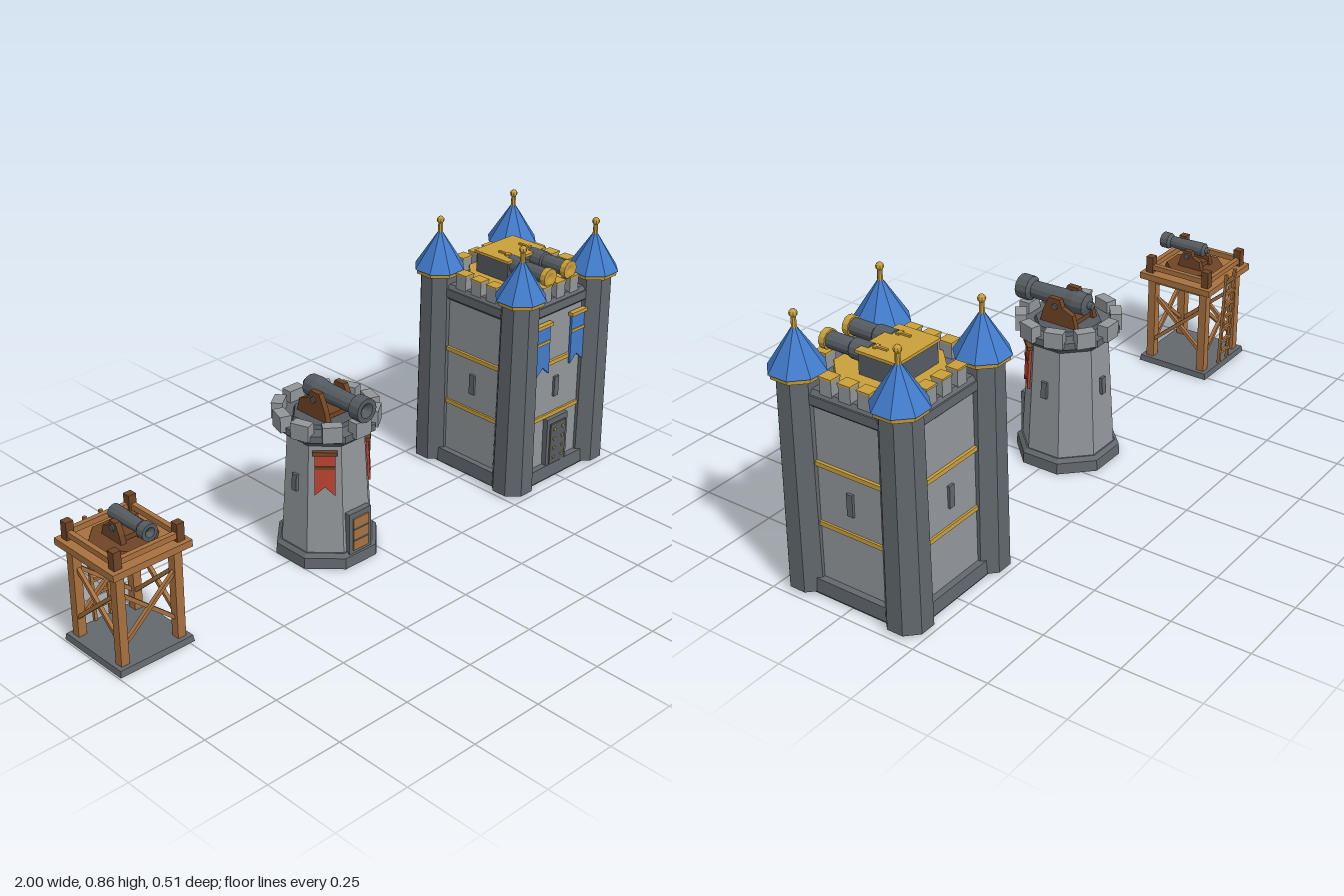
import * as THREE from 'three';

const mat = (name, color) => Object.assign(new THREE.MeshStandardMaterial({ color }), { name });
const M = {
  stone: mat('stone', 0x92969a), darkStone: mat('dark stone', 0x62686d), iron: mat('iron', 0x555c62),
  wood: mat('wood', 0xa8713f), darkWood: mat('dark wood', 0x6f4425),
  red: mat('red cloth', 0xb8432f), blue: mat('blue', 0x427bcb), gold: mat('gold', 0xcaa03c),
};

// Adds a flat-faceted mesh to a group
function add(parent, name, geo, material, x = 0, y = 0, z = 0) {
  const g = geo.index ? geo.toNonIndexed() : geo;
  g.computeVertexNormals();
  const m = new THREE.Mesh(g, material);
  m.name = name;
  m.position.set(x, y, z);
  parent.add(m);
  return m;
}
const box = (p, name, material, w, h, d, x, y, z) => add(p, name, new THREE.BoxGeometry(w, h, d), material, x, y, z);

// Upright prism with n sides, flats facing the axes, measured to the flats
function prism(p, name, material, n, bottom, top, y0, y1, x = 0, z = 0) {
  const k = 1 / Math.cos(Math.PI / n);
  const g = new THREE.CylinderGeometry(top * k, bottom * k, y1 - y0, n).rotateY(Math.PI / n);
  return add(p, name, g, material, x, (y0 + y1) / 2, z);
}

// Square beam between two points
function beam(p, name, material, a, b, t) {
  const va = new THREE.Vector3(...a), d = new THREE.Vector3(...b).sub(va);
  const m = box(p, name, material, t, d.length(), t, 0, 0, 0);
  m.position.copy(va).addScaledVector(d, 0.5);
  m.quaternion.setFromUnitVectors(new THREE.Vector3(0, 1, 0), d.normalize());
}

// Subgroup turned about the vertical axis
function side(p, name, angle) {
  const g = new THREE.Group();
  g.name = name;
  g.rotation.y = angle;
  p.add(g);
  return g;
}

// Barrel pointing to +z; profile points are [radius, z]
function barrel(p, name, material, profile, x, y) {
  const g = new THREE.LatheGeometry(profile.map(([r, z]) => new THREE.Vector2(r, z)), 12).rotateX(Math.PI / 2);
  return add(p, name, g, material, x, y, 0);
}

// Hanging cloth with a swallow tail, top edge at the origin
function banner(p, material, trim, w, h, x, y, z, tilt) {
  const g = new THREE.Group();
  g.name = 'banner';
  const s = new THREE.Shape([[-w / 2, 0], [-w / 2, -h], [0, -h + w * 0.45], [w / 2, -h], [w / 2, 0]]
    .map(([a, b]) => new THREE.Vector2(a, b)));
  add(g, 'bannerCloth', new THREE.ExtrudeGeometry(s, { depth: 0.008, bevelEnabled: false }), material);
  box(g, 'bannerRod', trim, w + 0.012, 0.012, 0.018, 0, 0, 0.006);
  box(g, 'bannerStripe', trim, w, 0.01, 0.003, 0, -h * 0.34, 0.0095);
  g.position.set(x, y, z);
  g.rotation.x = tilt;
  p.add(g);
}

// Stepped wooden cheeks that carry a barrel
function carriage(p, half, y, len, h) {
  const s = new THREE.Shape([[-0.5, 0], [0.5, 0], [0.42, 0.45], [0.25, 1], [-0.05, 1], [-0.12, 0.7], [-0.42, 0.5]]
    .map(([a, b]) => new THREE.Vector2(a * len, b * h)));
  for (const sx of [-1, 1]) {
    const g = new THREE.ExtrudeGeometry(s, { depth: 0.018, bevelEnabled: false })
      .translate(0, 0, -0.009).rotateY(-Math.PI / 2);
    add(p, 'carriageCheek', g, M.darkWood, sx * half, y, 0);
    add(p, 'trunnion', new THREE.CylinderGeometry(0.01, 0.01, 0.03, 8).rotateZ(Math.PI / 2), M.iron, sx * half, y + h * 0.7, 0.01);
  }
  box(p, 'carriageBed', M.darkWood, half * 2, 0.015, len * 0.8, 0, y + 0.01, 0);
}

function watchtower() {
  const t = new THREE.Group();
  t.name = 'woodenTower';
  prism(t, 'baseSlab', M.darkStone, 4, 0.131, 0.128, 0, 0.02);
  for (let i = 0; i < 4; i++) {
    const f = side(t, 'towerSide', i * Math.PI / 2);
    box(f, 'cornerPost', M.wood, 0.028, 0.3, 0.028, 0.1, 0.17, 0.1);
    box(f, 'railPost', M.darkWood, 0.026, 0.062, 0.026, 0.108, 0.364, 0.108);
    box(f, 'rail', M.wood, 0.2, 0.018, 0.016, 0, 0.358, 0.11);
    box(f, 'floorBeam', M.wood, 0.22, 0.02, 0.018, 0, 0.307, 0.1);
    for (const s of [-1, 1])
      beam(f, 'crossBrace', M.wood, [-0.095 * s, 0.08, 0.1 + s * 0.004], [0.095 * s, 0.245, 0.1 + s * 0.004], 0.012);
  }
  box(t, 'platform', M.wood, 0.272, 0.022, 0.272, 0, 0.327, 0);
  box(t, 'platformUnderside', M.darkWood, 0.19, 0.008, 0.19, 0, 0.313, 0);
  prism(t, 'turntable', M.darkWood, 8, 0.095, 0.09, 0.338, 0.352);
  // Ladder on the back
  for (const s of [-1, 1]) beam(t, 'ladderRail', M.wood, [s * 0.028, 0.02, -0.125], [s * 0.028, 0.36, -0.14], 0.01);
  for (let i = 0; i < 7; i++) box(t, 'ladderRung', M.wood, 0.056, 0.009, 0.009, 0, 0.06 + i * 0.045, -0.127 - i * 0.002);
  carriage(t, 0.03, 0.352, 0.09, 0.06);
  barrel(t, 'cannonBarrel', M.iron, [[0, -0.055], [0.008, -0.05], [0.01, -0.04], [0.023, -0.034], [0.023, -0.01],
    [0.019, 0.09], [0.027, 0.1], [0.027, 0.127], [0.016, 0.127], [0, 0.115]], 0, 0.413);
  return t;
}

function roundTower() {
  const t = new THREE.Group();
  t.name = 'stoneTower';
  prism(t, 'plinth', M.darkStone, 8, 0.154, 0.152, 0, 0.036);
  prism(t, 'plinthBevel', M.darkStone, 8, 0.152, 0.14, 0.036, 0.048);
  prism(t, 'towerBody', M.stone, 8, 0.136, 0.116, 0.045, 0.42);
  prism(t, 'corbel', M.darkStone, 8, 0.118, 0.146, 0.405, 0.43);
  prism(t, 'parapetRing', M.darkStone, 8, 0.148, 0.148, 0.43, 0.452);
  for (let i = 0; i < 10; i++)
    box(side(t, 'merlonSide', i * Math.PI / 5), 'merlon', M.stone, 0.06, 0.052, 0.036, 0, 0.463, 0.145);
  // Arrow slits on both sides and the back
  for (const a of [1, 2, 3])
    box(side(t, 'slitSide', a * Math.PI / 2), 'arrowSlit', M.darkStone, 0.02, 0.055, 0.02, 0, 0.268, 0.124).rotation.x = -0.055;
  // Banners on the two front diagonals
  for (const s of [-1, 1])
    banner(side(t, 'bannerSide', s * Math.PI / 4), M.red, M.darkWood, 0.062, 0.14, 0, 0.385, 0.119, -0.055);
  // Door
  box(t, 'doorFrame', M.darkStone, 0.09, 0.14, 0.03, 0, 0.11, 0.134);
  for (let i = 0; i < 3; i++) box(t, 'doorPlank', M.wood, 0.062, 0.032, 0.008, 0, 0.068 + i * 0.039, 0.15);
  for (let i = 0; i < 2; i++) box(t, 'doorStrap', M.iron, 0.062, 0.007, 0.008, 0, 0.0875 + i * 0.039, 0.149);
  // Cannon
  prism(t, 'turntable', M.iron, 8, 0.1, 0.095, 0.452, 0.464);
  carriage(t, 0.05, 0.464, 0.13, 0.085);
  barrel(t, 'cannonBarrel', M.iron, [[0, -0.095], [0.012, -0.09], [0.012, -0.075], [0.034, -0.068], [0.036, -0.03],
    [0.03, 0.0], [0.027, 0.125], [0.039, 0.135], [0.039, 0.175], [0.024, 0.175], [0, 0.155]], 0, 0.527);
  return t;
}

function keep() {
  const t = new THREE.Group();
  t.name = 'keep';
  prism(t, 'footing', M.darkStone, 4, 0.208, 0.214, 0, 0.01);
  prism(t, 'plinth', M.darkStone, 4, 0.215, 0.213, 0.01, 0.055);
  prism(t, 'keepBody', M.stone, 4, 0.192, 0.184, 0.05, 0.61);
  prism(t, 'corniceStep', M.darkStone, 4, 0.19, 0.2, 0.594, 0.604);
  prism(t, 'cornice', M.darkStone, 4, 0.2, 0.2, 0.604, 0.632);
  prism(t, 'roofDeck', M.darkStone, 4, 0.195, 0.185, 0.632, 0.645);
  for (let i = 0; i < 4; i++) {
    const f = side(t, 'keepSide', i * Math.PI / 2);
    for (const y of [0.231, 0.421]) box(f, 'goldBand', M.gold, 0.26, 0.014, 0.02, 0, y, 0.186);
    box(f, 'arrowSlit', M.darkStone, 0.021, 0.07, 0.02, 0, 0.327, 0.186);
    for (const x of [-0.065, 0, 0.065]) {
      box(f, 'merlon', M.stone, 0.041, 0.05, 0.036, x, 0.665, 0.172);
      box(f, 'merlonCap', M.gold, 0.044, 0.006, 0.04, x, 0.692, 0.172);
    }
    // Corner turret with roof and finial
    const c = new THREE.Group();
    c.name = 'cornerTurret';
    c.position.set(0.175, 0, 0.175);
    f.add(c);
    prism(c, 'turretShaft', M.darkStone, 8, 0.064, 0.058, 0.01, 0.676);
    prism(c, 'turretRing', M.gold, 8, 0.072, 0.074, 0.673, 0.689);
    prism(c, 'turretRoof', M.blue, 8, 0.078, 0.004, 0.687, 0.812);
    prism(c, 'finialRod', M.gold, 8, 0.008, 0.007, 0.8, 0.838);
    add(c, 'finialBall', new THREE.SphereGeometry(0.0125, 8, 6), M.gold, 0, 0.847, 0);
  }
  // Front banners
  for (const s of [-1, 1]) banner(t, M.blue, M.gold, 0.062, 0.175, s * 0.083, 0.568, 0.193, -0.012);
  // Studded door
  box(t, 'doorFrame', M.darkStone, 0.1, 0.17, 0.03, 0, 0.137, 0.194);
  box(t, 'door', M.iron, 0.074, 0.146, 0.008, 0, 0.13, 0.2085 + 0.002);
  for (const x of [-0.02, 0.02]) for (let i = 0; i < 4; i++)
    box(t, 'doorStud', M.gold, 0.009, 0.009, 0.008, x, 0.08 + i * 0.034, 0.215);
  // Gun turret with twin barrels
  prism(t, 'turntable', M.gold, 8, 0.15, 0.148, 0.645, 0.668);
  box(t, 'gunHouse', M.iron, 0.17, 0.07, 0.134, 0, 0.7, -0.028);
  box(t, 'gunHouseLid', M.gold, 0.184, 0.009, 0.144, 0, 0.738, -0.028);
  for (const s of [-1, 1]) {
    const x = s * 0.048;
    barrel(t, 'gunBarrel', M.iron, [[0, 0.02], [0.03, 0.02], [0.03, 0.08], [0.025, 0.085], [0.025, 0.165]], x, 0.718);
    barrel(t, 'muzzleRing', M.gold, [[0, 0.165], [0.03, 0.165], [0.03, 0.185], [0.018, 0.185], [0, 0.18]], x, 0.718);
    box(t, 'lidHandle', M.gold, 0.008, 0.006, 0.045, x, 0.745, -0.01);
    box(t, 'lidHinge', M.gold, 0.022, 0.005, 0.01, x, 0.745, 0.005);
  }
  return t;
}

export function createModel() {
  const model = new THREE.Group();
  model.name = 'towers';
  [[watchtower(), -0.864], [roundTower(), -0.097], [keep(), 0.743]].forEach(([t, x]) => {
    t.position.x = x;
    model.add(t);
  });
  return model;
}
